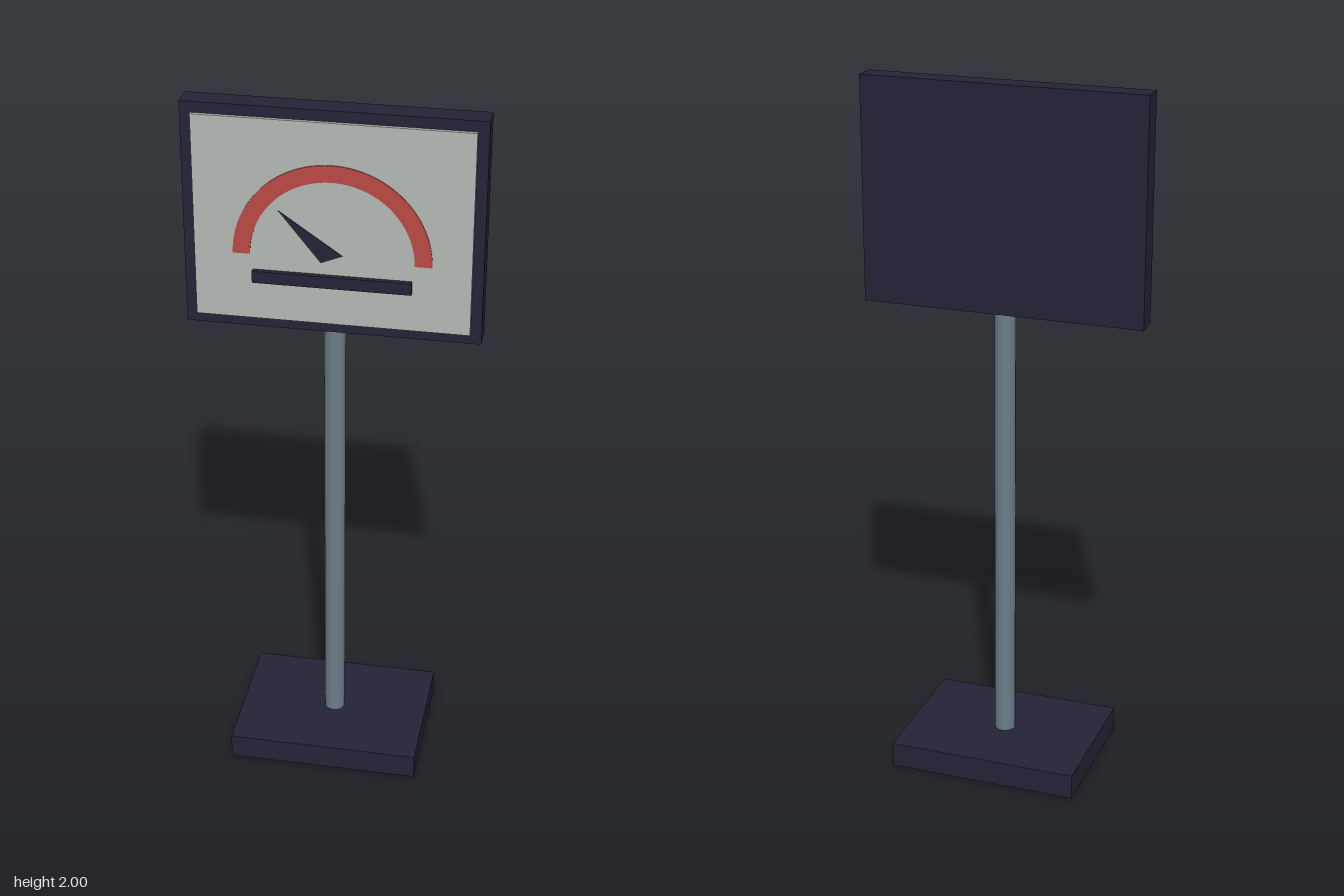
import * as THREE from 'three';

const mat = (name, color, extra = {}) => {
  const m = new THREE.MeshStandardMaterial({ color, ...extra });
  m.name = name;
  return m;
};

export function createModel() {
  const group = new THREE.Group();
  const dark = mat('darkNavy', 0x242437);
  const steel = mat('steelGrey', 0x6c7d88, { flatShading: true });
  const pale = mat('paleGrey', 0xb4bab6);
  const red = mat('gaugeRed', 0xbc4a45);

  const add = (name, geometry, material, x, y, z) => {
    const mesh = new THREE.Mesh(geometry, material);
    mesh.name = name;
    mesh.position.set(x, y, z);
    group.add(mesh);
  };
  const box = (name, w, y0, y1, z0, z1, material) =>
    add(name, new THREE.BoxGeometry(w, y1 - y0, z1 - z0), material, 0, (y0 + y1) / 2, (z0 + z1) / 2);

  // Stand
  box('base', 0.55, 0, 0.073, -0.209, 0.209, dark);
  add('pole', new THREE.CylinderGeometry(0.03, 0.03, 1.31, 16), steel, 0, 0.725, 0);

  // Sign board with its raised face
  box('signFrame', 0.806, 1.367, 2, -0.033, 0.033, dark);
  box('signFace', 0.746, 1.396, 1.97, 0.033, 0.043, pale);
  box('gaugeBar', 0.43, 1.508, 1.542, 0.043, 0.058, dark);

  // Half-ring gauge scale
  const arc = new THREE.Shape();
  arc.absarc(0, 0, 0.268, 0, Math.PI, false);
  arc.absarc(0, 0, 0.221, Math.PI, 0, true);
  arc.closePath();
  const plate = { depth: 0.003, bevelEnabled: false, curveSegments: 24 };
  add('gaugeArc', new THREE.ExtrudeGeometry(arc, plate), red, 0, 1.587, 0.043);

  // Pointed needle
  const needle = new THREE.Shape([
    new THREE.Vector2(-0.143, 0.13),
    new THREE.Vector2(-0.03, -0.011),
    new THREE.Vector2(0.028, 0.013),
  ]);
  add('gaugeNeedle', new THREE.ExtrudeGeometry(needle, plate), dark, 0, 1.587, 0.043);

  return group;
}
